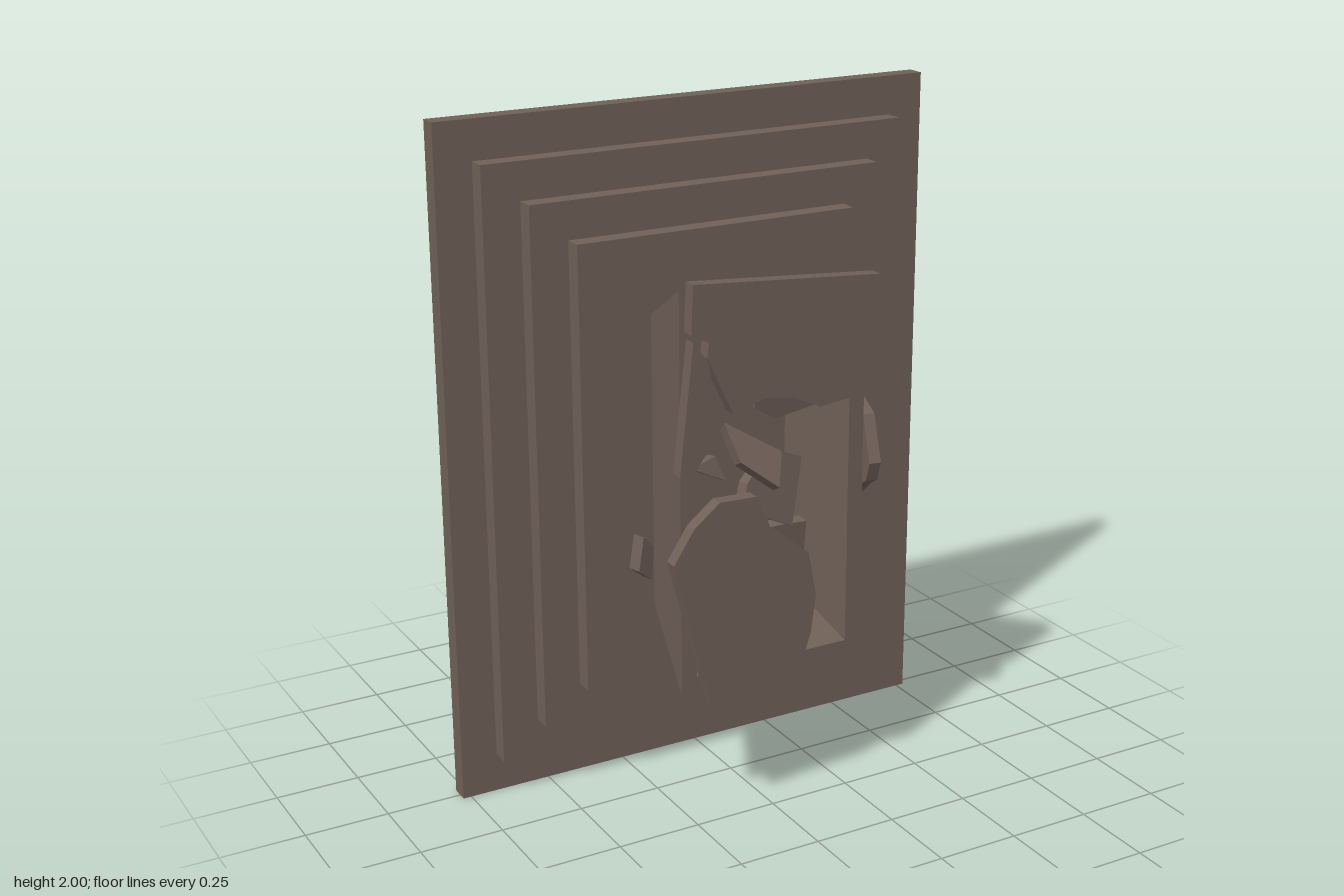
import * as THREE from 'three';

const stone = new THREE.MeshStandardMaterial({ color: 0x6f5f57, side: THREE.DoubleSide });
stone.name = 'brown stone';

// Skin a list of rectangular cross-sections [halfWidth, bottom, top, z]
function rectLoft(name, sections, cap = false) {
  const pos = [], idx = [];
  for (const [w, b, t, z] of sections) pos.push(-w, b, z, w, b, z, w, t, z, -w, t, z);
  for (let s = 0; s < sections.length - 1; s++) {
    for (let i = 0; i < 4; i++) {
      const a = s * 4 + i, b = s * 4 + (i + 1) % 4;
      idx.push(a, b, b + 4, a, b + 4, a + 4);
    }
  }
  if (cap) {
    const k = (sections.length - 1) * 4;
    idx.push(k, k + 1, k + 2, k, k + 2, k + 3);
  }
  const indexed = new THREE.BufferGeometry();
  indexed.setAttribute('position', new THREE.Float32BufferAttribute(pos, 3));
  indexed.setIndex(idx);
  const geo = indexed.toNonIndexed();
  geo.computeVertexNormals();
  const mesh = new THREE.Mesh(geo, stone);
  mesh.name = name;
  return mesh;
}

// Broken plate: outline extruded about its own middle, then placed and tilted
function shard(name, outline, { x, z, depth = 0.04, rot = [0, 0, 0] }) {
  const pts = outline.map(([u, v]) => new THREE.Vector2(u, v));
  const mid = new THREE.Box2().setFromPoints(pts).getCenter(new THREE.Vector2());
  const shape = new THREE.Shape(pts.map(p => p.sub(mid)));
  const geo = new THREE.ExtrudeGeometry(shape, { depth, bevelEnabled: false });
  geo.translate(0, 0, -depth / 2);
  const mesh = new THREE.Mesh(geo, stone);
  mesh.name = name;
  mesh.position.set(x ?? mid.x, mid.y, z);
  mesh.rotation.set(...rot);
  return mesh;
}

export function createModel() {
  const model = new THREE.Group();
  model.name = 'brokenWallNiche';

  // Stepped panel, hollow behind
  const steps = [[0.775, 0, 2], [0.665, 0.118, 1.885], [0.553, 0.228, 1.775], [0.44, 0.34, 1.665]];
  const sections = [[...steps[1], -0.28]];
  steps.forEach((rect, i) => {
    sections.push([...rect, -0.28 + i * 0.055], [...rect, -0.225 + i * 0.055]);
  });
  model.add(rectLoft('steppedPanel', sections, true));

  // Flared box with a front rim and open inside
  model.add(rectLoft('flaredBox', [
    [0.22, 0.565, 1.44, -0.06],
    [0.293, 0.415, 1.59, 0.24],
    [0.245, 0.465, 1.54, 0.24],
    [0.215, 0.565, 1.44, -0.058],
  ]));

  // Remains of the front cover
  model.add(shard('topCoverPiece', [
    [-0.272, 1.612], [-0.278, 1.475], [-0.225, 1.447], [-0.23, 1.405], [-0.15, 1.235],
    [-0.05, 1.267], [0.045, 1.25], [0.125, 1.213], [0.29, 1.23], [0.312, 1.565],
  ], { z: 0.26 }));
  model.add(shard('sideCoverPiece', [
    [-0.272, 1.455], [-0.315, 1.086], [-0.265, 1.095], [-0.165, 1.235], [-0.21, 1.29], [-0.227, 1.395],
  ], { z: 0.26 }));
  model.add(shard('lowerCoverPiece', [
    [-0.336, 0.832], [-0.214, 0.366], [0.07, 0.44], [0.103, 0.536], [0.119, 0.652], [0.093, 0.785],
    [-0.034, 0.89], [-0.077, 0.986], [-0.193, 0.99], [-0.272, 0.928],
  ], { z: 0.26 }));

  // Plate leaning beside the box
  model.add(shard('leaningPiece', [
    [-0.275, 1.01], [-0.25, 0.95], [-0.2, 0.92], [-0.15, 0.88], [-0.08, 0.815], [0.055, 0.81],
    [0.055, 1.2], [-0.1, 1.18], [-0.22, 1.14], [-0.24, 1.09],
  ], { x: 0.345, z: 0.11, depth: 0.035, rot: [0, 1.388, 0] }));

  // Fragments inside the box
  model.add(shard('upperFragment', [
    [-0.077, 1.15], [-0.055, 1.03], [0.045, 0.94], [0.08, 1.04],
  ], { z: 0.13, rot: [-0.5, 0, 0] }));
  model.add(shard('middleFragment', [
    [0.08, 1.035], [-0.01, 0.95], [-0.035, 0.875], [0.14, 0.795], [0.193, 0.99],
  ], { z: 0.08, rot: [-0.15, 0.15, 0] }));
  model.add(shard('smallFragment', [
    [-0.19, 1.03], [-0.087, 0.98], [-0.114, 1.055],
  ], { z: 0.1, rot: [-0.2, 0, 0] }));
  model.add(shard('highFragment', [
    [-0.01, 1.27], [0, 1.19], [0.07, 1.145], [0.215, 1.17], [0.2, 1.27],
  ], { z: 0.12, rot: [0.15, 0, 0] }));
  model.add(shard('lowFragment', [
    [0.04, 0.78], [0.04, 0.6], [0.13, 0.57], [0.225, 0.6], [0.225, 0.78], [0.13, 0.785],
  ], { z: 0.02, rot: [0.12, 0, 0] }));

  // Small chips resting on the panel outside the box
  model.add(shard('sideChip', [
    [-0.3, 0.7], [-0.25, 0.66], [-0.24, 0.76], [-0.28, 0.8],
  ], { z: -0.04, rot: [0, 0.3, 0] }));
  model.add(shard('lowerChip', [
    [-0.05, 0.5], [-0.02, 0.46], [0.04, 0.47], [0.03, 0.51],
  ], { z: -0.038, rot: [0, 0.1, 0] }));

  return model;
}
